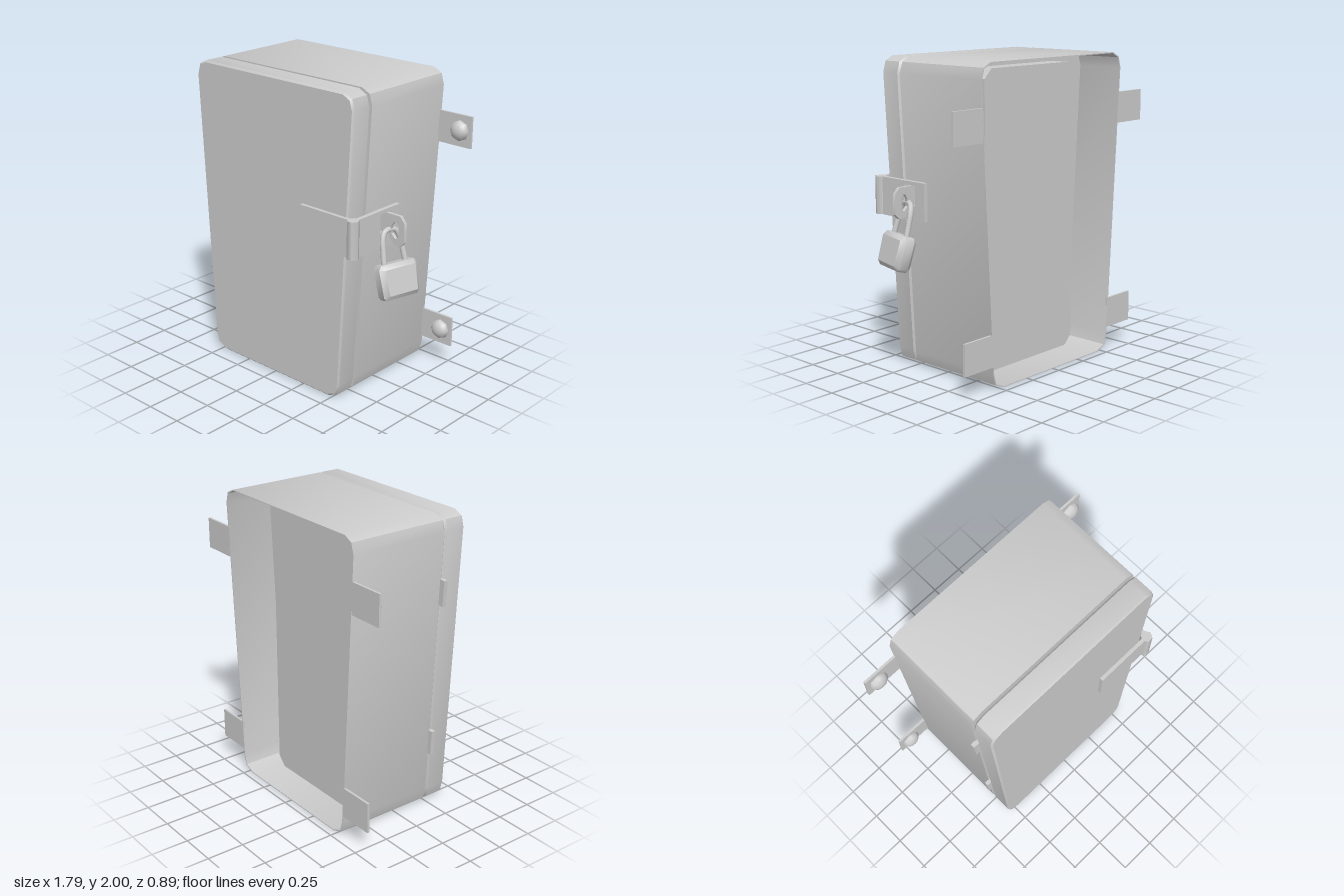
import * as THREE from 'three';
import { toCreasedNormals } from 'three/addons/utils/BufferGeometryUtils.js';

const grey = new THREE.MeshStandardMaterial({ color: 0xcccccc, side: THREE.DoubleSide });

function add(parent, name, geometry, x = 0, y = 0, z = 0) {
  const mesh = new THREE.Mesh(geometry, grey);
  mesh.name = name;
  mesh.position.set(x, y, z);
  parent.add(mesh);
  return mesh;
}

const points = (list) => list.map(([x, y]) => new THREE.Vector2(x, y));

// Tapered outline with clipped corners, shrunk about its middle by inset
function outline(inset = 0) {
  const half = [[0.47, 0], [0.54, 0.03], [0.56, 0.1], [0.66, 1.9], [0.64, 1.97], [0.58, 2]];
  const right = half.map(([x, y]) => [x - inset, 1 + (y - 1) * (1 - inset)]);
  return points([...right, ...right.map(([x, y]) => [-x, y]).reverse()]);
}

function extrude(shape, depth, bevel = 0) {
  const g = new THREE.ExtrudeGeometry(shape, {
    depth: depth - 2 * bevel, bevelEnabled: bevel > 0, bevelSize: bevel, bevelThickness: bevel,
    bevelOffset: -bevel, bevelSegments: 1,
  });
  g.translate(0, 0, bevel);
  return toCreasedNormals(g, 0.75);
}

export function createModel() {
  const model = new THREE.Group();
  model.name = 'lockedCabinet';

  // Body: thin sleeve open at the back, with a raised inner panel
  const sleeve = new THREE.Shape(outline());
  sleeve.holes.push(new THREE.Path(outline(0.006).reverse()));
  add(model, 'bodyWalls', extrude(sleeve, 0.686), 0, 0, -0.45);
  add(model, 'recessedBack', new THREE.ShapeGeometry(new THREE.Shape(outline(0.003))), 0, 0, -0.12);
  const panel = new THREE.Shape(points([[-0.36, 0.03], [0.36, 0.03], [0.42, 0.09], [0.42, 1.88],
    [0.36, 1.94], [-0.36, 1.94], [-0.42, 1.88], [-0.42, 0.09]]));
  add(model, 'innerPanel', extrude(panel, 0.13), 0, 0, -0.25);
  add(model, 'bodyFront', new THREE.ShapeGeometry(new THREE.Shape(outline(0.003))), 0, 0, 0.235);

  // Door, separated from the body by a narrow gap
  add(model, 'door', extrude(new THREE.Shape(outline()), 0.151, 0.012), 0, 0, 0.249);

  // Wall brackets with domed bolts
  const dome = new THREE.SphereGeometry(0.067, 8, 6, 0, Math.PI * 2, 0, Math.PI / 2);
  dome.scale(1, 0.8, 1).rotateX(Math.PI / 2);
  for (const side of [-1, 1]) {
    for (const [x0, x1, y, boltX] of [[0.645, 0.892, 1.637, 0.807], [0.565, 0.807, 0.253, 0.722]]) {
      add(model, 'wallBracket', new THREE.BoxGeometry(x1 - x0, 0.204, 0.016), side * (x0 + x1) / 2, y, -0.442);
      add(model, 'bolt', dome, side * boltX, y, -0.437);
    }
  }

  // Hinges along the tapered edge
  for (const [x, y] of [[-0.615, 1.515], [-0.55, 0.465]]) {
    const hinge = add(model, 'hinge', new THREE.BoxGeometry(0.12, 0.17, 0.028), x, y, 0.245);
    hinge.rotation.z = 0.056;
  }

  // Hasp: front leaf, knuckle and a slotted side leaf
  add(model, 'haspFrontLeaf', new THREE.BoxGeometry(0.39, 0.242, 0.026), 0.455, 1.128, 0.411);
  const knuckle = new THREE.CylinderGeometry(0.039, 0.039, 0.242, 6);
  knuckle.rotateY(Math.PI / 6);
  add(model, 'haspKnuckle', knuckle, 0.676, 1.128, 0.41);
  const leaf = new THREE.Shape(points([[0, 1.007], [-0.4, 1.007], [-0.4, 1.249], [0, 1.249]]));
  leaf.holes.push(new THREE.Path(points([[-0.08, 1.1], [-0.08, 1.225], [-0.18, 1.225], [-0.18, 1.1]])));
  const leafGeometry = extrude(leaf, 0.028);
  leafGeometry.rotateY(Math.PI / 2);
  add(model, 'haspSideLeaf', leafGeometry, 0.667, 0, 0);

  // Staple through the slot
  const staple = new THREE.Shape(points([[0.62, 1.1], [0.715, 1.1], [0.725, 1.065], [0.765, 1.03], [0.805, 1.03],
    [0.835, 1.06], [0.835, 1.185], [0.8, 1.225], [0.62, 1.225]]));
  staple.holes.push(new THREE.Path(points([[0.735, 1.1], [0.735, 1.15], [0.755, 1.178], [0.775, 1.178],
    [0.79, 1.16], [0.79, 1.085], [0.765, 1.072]])));
  add(model, 'staple', extrude(staple, 0.022), 0, 0, 0.104);

  // Padlock hanging at a tilt
  const padlock = new THREE.Group();
  padlock.name = 'padlock';
  padlock.position.set(0.8, 0.824, 0.14);
  padlock.rotation.set(0, -0.25, 0.27);
  model.add(padlock);

  const face = new THREE.Shape(points([[-0.115, -0.11], [0.115, -0.11], [0.132, -0.092], [0.14, 0.085],
    [0.122, 0.108], [-0.122, 0.108], [-0.14, 0.085], [-0.132, -0.092]]));
  const caseGeometry = extrude(face, 0.114, 0.028);
  caseGeometry.translate(0, 0, -0.057).rotateY(Math.PI / 2);
  add(padlock, 'padlockCase', caseGeometry);

  const bow = new THREE.CatmullRomCurve3([[-0.08, 0.09], [-0.073, 0.17], [-0.064, 0.25], [-0.04, 0.3], [0, 0.31],
    [0.04, 0.3], [0.064, 0.25], [0.073, 0.17], [0.08, 0.09]].map(([z, y]) => new THREE.Vector3(0, y, z)));
  add(padlock, 'shackle', new THREE.TubeGeometry(bow, 24, 0.018, 8));

  return model;
}
